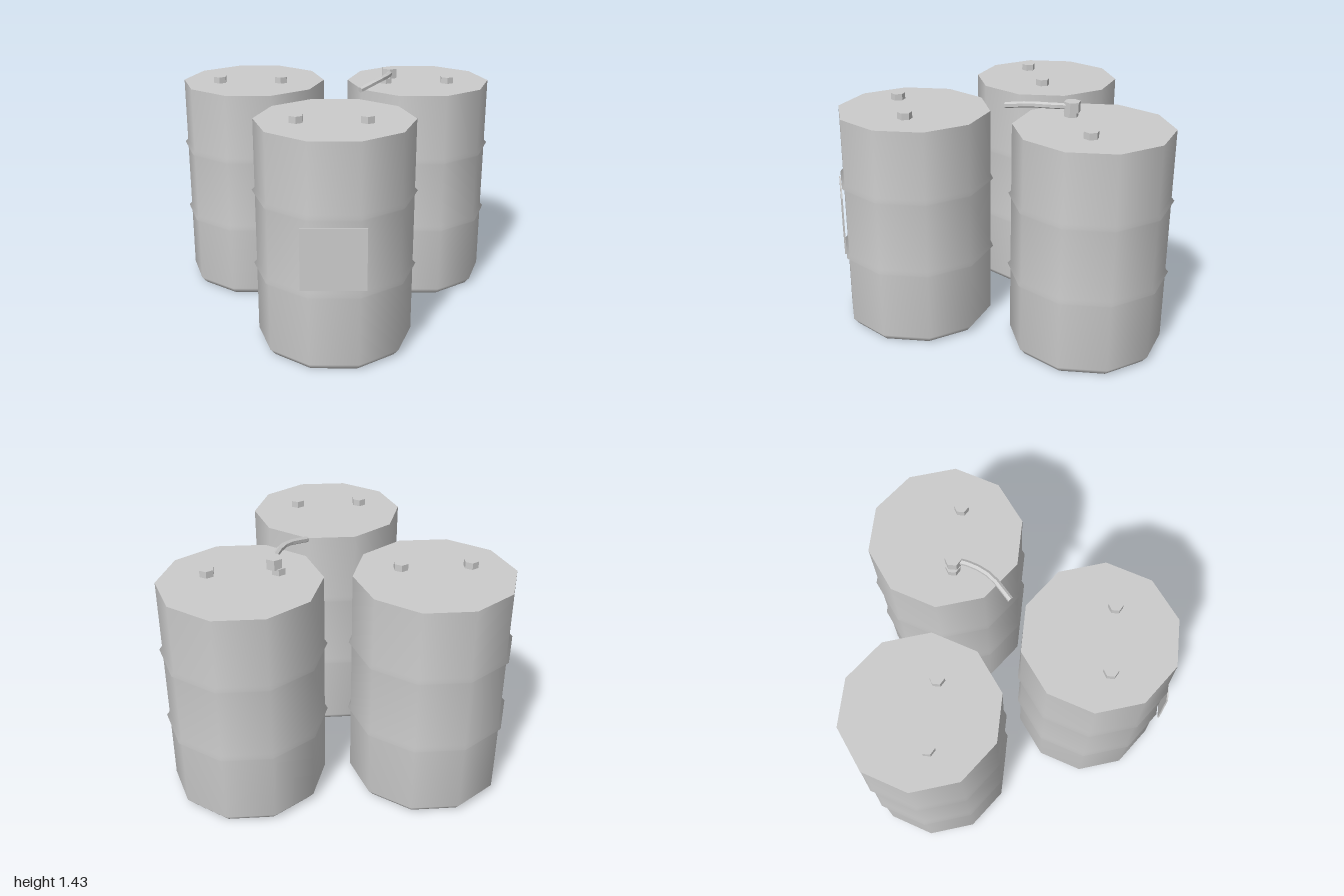
import * as THREE from 'three';

export function createModel() {
  const model = new THREE.Group();
  model.name = 'barrelCluster';

  const grey = new THREE.MeshStandardMaterial({ color: 0xcccccc });
  grey.name = 'plain grey';

  const add = (parent, name, geometry, x = 0, y = 0, z = 0) => {
    const mesh = new THREE.Mesh(geometry, grey);
    mesh.name = name;
    mesh.position.set(x, y, z);
    parent.add(mesh);
    return mesh;
  };

  // Barrel shell: ten sides, chamfered foot and two pressed rings
  const R = 0.453, RING = 0.47, TOP = 1.338;
  const profile = [
    [0, 0.005], [0.42, 0.005], [R, 0.045],
    [R, 0.452], [RING, 0.47], [R, 0.488],
    [R, 0.902], [RING, 0.92], [R, 0.938],
    [R, TOP],
  ].map(([r, y]) => new THREE.Vector2(r, y));
  const shell = new THREE.LatheGeometry(profile, 10, Math.PI / 2);
  const lid = new THREE.CircleGeometry(R, 10).rotateX(-Math.PI / 2);

  // Hexagonal plugs with flat, faceted sides
  const hexPrism = (r, h) => {
    const g = new THREE.CylinderGeometry(r, r, h, 6).toNonIndexed();
    g.computeVertexNormals();
    return g;
  };
  const plug = hexPrism(0.043, 0.04);

  const makeBarrel = (name, x, z) => {
    const barrel = new THREE.Group();
    barrel.name = name;
    barrel.position.set(x, 0, z);
    add(barrel, 'shell', shell);
    add(barrel, 'lid', lid, 0, TOP, 0);
    for (const px of [-0.21, 0.18]) {
      add(barrel, 'plug', plug, px, TOP + 0.019, 0.07);
    }
    model.add(barrel);
  };
  makeBarrel('frontBarrel', 0, 0.463);
  makeBarrel('rearRightBarrel', -0.53, -0.472);
  makeBarrel('rearLeftBarrel', 0.53, -0.472);

  // Pump head sitting on a plug of the rear left barrel
  add(model, 'pumpHead', hexPrism(0.049, 0.06), 0.343, 1.402, -0.4);

  // Bent spout reaching out over the rim
  const path = new THREE.CatmullRomCurve3([
    [0.345, 1.405, -0.38], [0.325, 1.407, -0.29],
    [0.27, 1.405, -0.18], [0.15, 1.372, -0.055],
  ].map((p) => new THREE.Vector3(...p)));
  const section = new THREE.Shape(
    Array.from({ length: 6 }, (_, i) => {
      const a = (i * Math.PI) / 3;
      return new THREE.Vector2(0.018 * Math.cos(a), 0.018 * Math.sin(a));
    })
  );
  add(model, 'spout', new THREE.ExtrudeGeometry(section, { steps: 6, extrudePath: path }));

  // Thin square plate on the front barrel
  add(model, 'labelPlate', new THREE.BoxGeometry(0.36, 0.36, 0.009), -0.003, 0.695, 0.915);

  return model;
}
